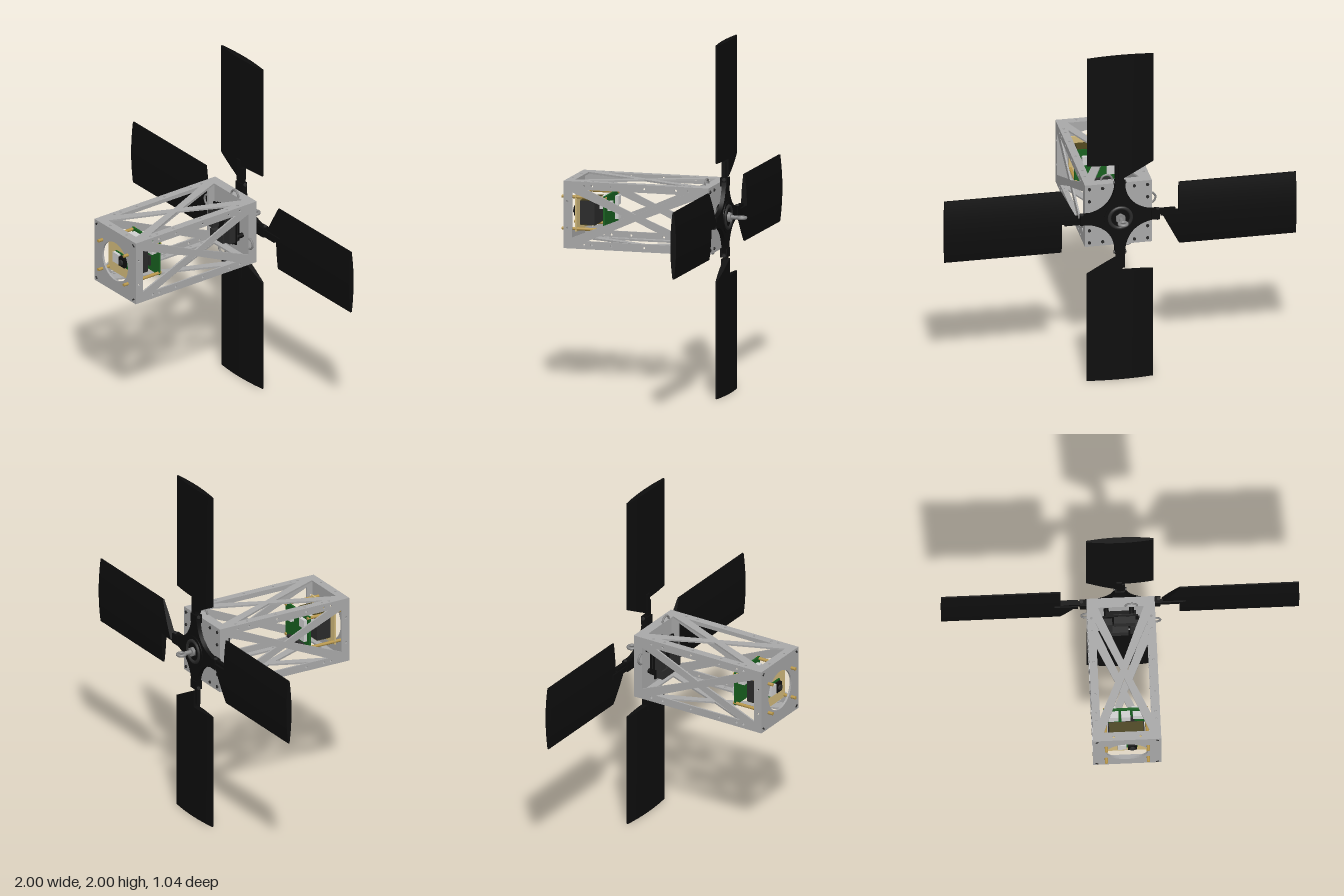
import * as THREE from 'three';
import { toCreasedNormals } from 'three/addons/utils/BufferGeometryUtils.js';

const mat = (name, color, side = THREE.FrontSide) => {
  const m = new THREE.MeshStandardMaterial({ color, side });
  m.name = name;
  return m;
};

export function createModel() {
  const black = mat('matte black', 0x0d0d0d);
  const charcoal = mat('charcoal', 0x2a2a2a);
  const aluminium = mat('aluminium', 0xa8a8a8);
  const steel = mat('steel', 0x858585);
  const tan = mat('tan board', 0xd2ba7c);
  const brass = mat('brass', 0xb8974a);
  const green = mat('circuit green', 0x17601f);
  const silver = mat('silver', 0xcfcfcf);
  const olive = mat('olive', 0x4a421c);

  const model = new THREE.Group();
  const body = new THREE.Group(); // origin on the long axis
  body.name = 'satellite';
  body.position.y = 1;
  model.add(body);

  const add = (parent, name, geo, material, x = 0, y = 0, z = 0) => {
    const m = new THREE.Mesh(geo, material);
    m.name = name;
    m.position.set(x, y, z);
    parent.add(m);
    return m;
  };
  const box = (parent, name, w, h, d, material, x, y, z) =>
    add(parent, name, new THREE.BoxGeometry(w, h, d), material, x, y, z);
  // Cylinder along z between two depths
  const rod = (parent, name, r, z0, z1, material, x = 0, y = 0, sides = 24) =>
    add(parent, name, new THREE.CylinderGeometry(r, r, Math.abs(z1 - z0), sides).rotateX(Math.PI / 2),
      material, x, y, (z0 + z1) / 2);
  const poly = (pts, Type = THREE.Shape) => new Type(pts.map(([x, y]) => new THREE.Vector2(x, y)));
  const hole = (x, y, r) => new THREE.Path().absarc(x, y, r, 0, Math.PI * 2, true);
  const square = h => poly([[-h, -h], [h, -h], [h, h], [-h, h]]);
  const extrude = (shape, depth, curveSegments = 12) =>
    new THREE.ExtrudeGeometry(shape, { depth, bevelEnabled: false, curveSegments });
  // Four copies turned clockwise about the long axis
  const spin = (name, build) => {
    for (let i = 0; i < 4; i++) {
      const g = new THREE.Group();
      g.name = name + (i + 1);
      g.rotation.z = -i * Math.PI / 2;
      build(g, i);
      body.add(g);
    }
  };

  // Truss side panels: sheet with four triangular openings and screw holes
  const mid = 0.07, H = 0.19;
  const panel = poly([[-H, -0.352], [H, -0.352], [H, 0.488], [-H, 0.488]]);
  for (const s of [-1, 1]) {
    panel.holes.push(poly([[s * 0.145, mid - 0.28], [s * 0.145, mid + 0.28], [s * 0.019, mid]], THREE.Path));
    panel.holes.push(poly([[-0.128, mid + s * 0.37], [0.128, mid + s * 0.37], [0, mid + s * 0.055]], THREE.Path));
    for (const z of [-0.24, -0.165, 0.02, 0.21, 0.325, 0.37]) panel.holes.push(hole(s * 0.167, z, 0.007));
    panel.holes.push(hole(s * 0.075, 0.468, 0.007));
  }
  const panelGeo = extrude(panel, 0.01, 6).rotateX(Math.PI / 2);
  spin('sidePanel', g => add(g, 'trussPanel', panelGeo, aluminium, 0, H, 0));

  // Front plate with round window, rear plate
  const front = square(H);
  front.holes.push(hole(0, 0, 0.117));
  add(body, 'frontPlate', extrude(front, 0.012, 32), aluminium, 0, 0, 0.478);
  add(body, 'rearPlate', extrude(square(H), 0.012), aluminium, 0, 0, -0.356);
  spin('plateScrews', g => {
    for (const [x, y] of [[0.165, 0.165], [-0.09, 0.165], [0.09, 0.165]])
      rod(g, 'rearScrew', 0.009, -0.362, -0.354, charcoal, x, y, 10);
    for (const x of [-0.165, 0.165]) rod(g, 'frontScrew', 0.005, 0.488, 0.493, charcoal, x, 0.172, 8);
  });

  // Payload stack: boards, block and camera held on four brass posts
  for (const x of [-0.117, 0.117]) for (const y of [-0.09, 0.09])
    rod(body, 'brassPost', 0.009, 0.26, 0.52, brass, x, y, 12);
  box(body, 'cameraBoard', 0.25, 0.21, 0.01, tan, 0, 0, 0.437);
  box(body, 'payloadBlock', 0.2, 0.135, 0.085, charcoal, 0, 0, 0.378);
  for (const s of [-1, 1]) box(body, 'blockCover', 0.19, 0.006, 0.08, olive, 0, s * 0.069, 0.378);
  box(body, 'cameraCircuit', 0.11, 0.075, 0.008, green, 0.005, 0, 0.446);
  box(body, 'cameraConnector', 0.05, 0.06, 0.02, silver, -0.027, 0.003, 0.457);
  box(body, 'cameraHousing', 0.05, 0.055, 0.022, black, 0.03, 0, 0.458);
  rod(body, 'cameraLens', 0.016, 0.465, 0.478, charcoal, 0.03, 0);
  box(body, 'computerBoard', 0.25, 0.2, 0.012, green, 0, 0, 0.272);
  for (const [x, y, w, h, d] of [[-0.07, 0.055, 0.06, 0.06, 0.04], [0, 0.055, 0.05, 0.06, 0.04], [0.07, 0.05, 0.06, 0.05, 0.03]])
    box(body, 'port', w, h, d, silver, x, y, 0.278 + d / 2);
  box(body, 'processor', 0.06, 0.06, 0.01, charcoal, 0.02, -0.04, 0.283);
  for (const [x, y] of [[-0.08, 0.05], [-0.08, -0.03], [0.06, 0.04]])
    box(body, 'rearConnector', 0.05, 0.05, 0.022, silver, x, y, 0.256);
  box(body, 'pinHeader', 0.16, 0.015, 0.02, charcoal, 0, -0.085, 0.256);

  // Servo cluster behind the rear plate
  box(body, 'servoFrame', 0.17, 0.17, 0.03, black, 0, 0, -0.3);
  spin('servo', g => {
    box(g, 'servoCase', 0.12, 0.05, 0.055, charcoal, 0.02, 0.075, -0.262);
    box(g, 'servoFlange', 0.17, 0.055, 0.01, black, 0.01, 0.075, -0.28);
    rod(g, 'servoShaft', 0.014, -0.34, -0.29, black, 0.06, 0.08, 12);
    // Curved horn that pokes through the panel
    add(g, 'servoHorn', new THREE.TorusGeometry(0.032, 0.006, 8, 16, Math.PI), steel, 0.058, 0.188, -0.305);
  });

  // Hub: boss, concave four-armed spider and ring
  rod(body, 'hubBoss', 0.07, -0.384, -0.354, black);
  const spider = new THREE.Shape().moveTo(-0.028, 0.2);
  for (let i = 0; i < 4; i++) {
    const a = -i * Math.PI / 2, c = Math.cos(a), s = Math.sin(a);
    const p = (x, y) => [x * c - y * s, x * s + y * c];
    spider.lineTo(...p(0.028, 0.2));
    spider.quadraticCurveTo(...p(0.045, 0.045), ...p(0.2, 0.028));
  }
  spider.holes.push(hole(0, 0, 0.03));
  add(body, 'hubSpider', toCreasedNormals(extrude(spider, 0.025, 14), 0.5), black, 0, 0, -0.408);
  rod(body, 'hubDisc', 0.09, -0.412, -0.384, black, 0, 0, 32);
  add(body, 'hubRing', new THREE.TorusGeometry(0.062, 0.01, 8, 32), charcoal, 0, 0, -0.412);

  // Eye bolt on the axis
  rod(body, 'boltNut', 0.028, -0.43, -0.41, steel, 0, 0, 6);
  rod(body, 'boltShank', 0.012, -0.472, -0.41, steel);
  add(body, 'boltEye', new THREE.TorusGeometry(0.022, 0.009, 12, 28).rotateX(Math.PI / 2), steel, 0, 0, -0.491);

  // Blade: lens section over chord columns, with a slanted, stepped root
  const cols = [-0.19, -0.17, -0.13, -0.085, -0.04, 0, 0.0105, 0.011, 0.05, 0.09, 0.13, 0.165, 0.187];
  const n = cols.length - 1;
  const blade = new THREE.BoxGeometry(n, 1, 1, n, 1, 1);
  const pos = blade.attributes.position;
  for (let i = 0; i < pos.count; i++) {
    const x = cols[Math.round(pos.getX(i) + n / 2)];
    const root = x < 0.0108 ? 0.335 - (x + 0.19) * 0.51 : 0.332;
    const half = 0.004 + 0.013 * (1 - (x / 0.19) ** 2);
    pos.setXYZ(i, x, pos.getY(i) > 0 ? 0.998 : root, Math.sign(pos.getZ(i)) * half);
  }
  const bladeGeo = toCreasedNormals(blade, 0.6);
  spin('blade', g => {
    add(g, 'bladePanel', bladeGeo, black, 0, 0, -0.401);
    // Folding joint between the hub arm and the blade
    box(g, 'armClamp', 0.056, 0.05, 0.04, black, 0, 0.2, -0.393);
    box(g, 'hingeLink', 0.03, 0.11, 0.022, black, 0.012, 0.26, -0.393);
    box(g, 'rootTab', 0.03, 0.13, 0.01, black, -0.006, 0.3, -0.381);
    const pin = add(g, 'hingePin', new THREE.CylinderGeometry(0.01, 0.01, 0.07, 12), charcoal, 0, 0.215, -0.397);
    pin.rotation.z = Math.PI / 2;
  });

  return model;
}
